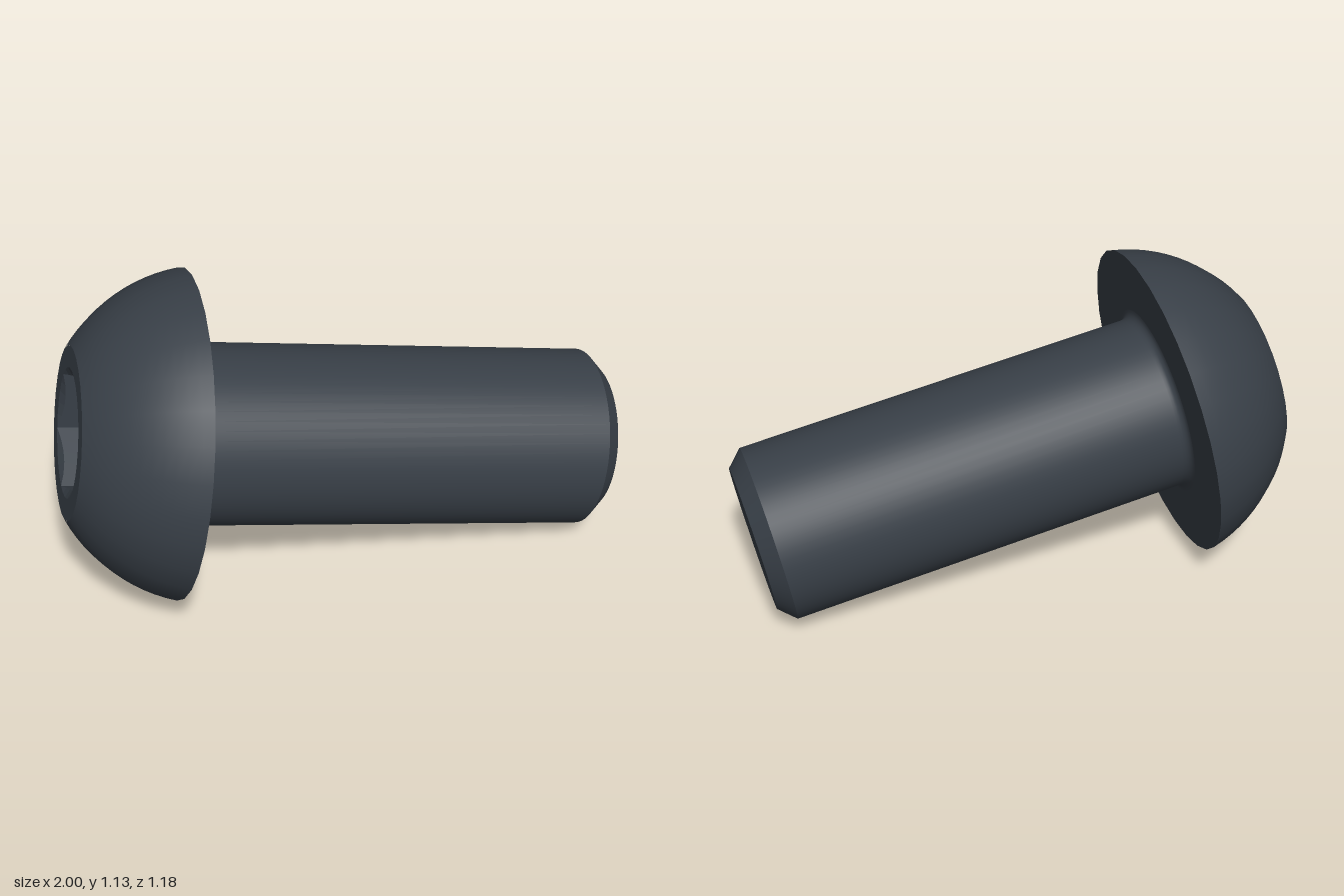
import * as THREE from 'three';

const steel = new THREE.MeshStandardMaterial({ color: 0x383f47 });
steel.name = 'dark steel';

const HEAD_SIDES = 30, SHANK_SIDES = 60;
const TOP = -0.38;          // plane of the head's flat top; the head's underside is at 0
const RIM = 0.575, FLAT = 0.3, SOCKET = 0.224, SHANK = 0.318, TIP = 0.262;

// Surface of revolution about local y; each call keeps its own smooth normals
function turned(name, profile, sides) {
  const pts = profile.map(([r, y]) => new THREE.Vector2(r, y));
  const mesh = new THREE.Mesh(new THREE.LatheGeometry(pts, sides), steel);
  mesh.name = name;
  return mesh;
}

// Arc of points in (radius, height) about a centre
function arc(cr, cy, r, from, to, steps) {
  return Array.from({ length: steps + 1 }, (_, i) => {
    const a = from + (to - from) * i / steps;
    return [cr + r * Math.cos(a), cy + r * Math.sin(a)];
  });
}

// Hexagonal recess with a conical countersink that meets the hexagon's corners
function hexSocket() {
  const sixth = Math.PI / 3, depth = 0.215;
  const rings = [
    () => [SOCKET, TOP],
    h => [h, TOP + (SOCKET - h) * 0.577],
    h => [h, TOP + depth],
    () => [0, TOP + depth],
  ];
  const point = (ring, i) => {
    const a = i / HEAD_SIDES * Math.PI * 2;
    const within = (i % (HEAD_SIDES / 6)) / (HEAD_SIDES / 6) * sixth;
    const h = SOCKET * Math.cos(sixth / 2) / Math.cos(within - sixth / 2);
    const [r, y] = rings[ring](h);
    return [r * Math.sin(a), y, r * Math.cos(a)];
  };
  const pos = [];
  for (let k = 0; k < rings.length - 1; k++) {
    for (let i = 0; i < HEAD_SIDES; i++) {
      const a = point(k, i), b = point(k, i + 1), c = point(k + 1, i + 1), d = point(k + 1, i);
      pos.push(...a, ...d, ...b, ...b, ...d, ...c);
    }
  }
  const geo = new THREE.BufferGeometry();
  geo.setAttribute('position', new THREE.Float32BufferAttribute(pos, 3));
  geo.computeVertexNormals();
  const mesh = new THREE.Mesh(geo, steel);
  mesh.name = 'hexSocket';
  return mesh;
}

export function createModel() {
  const bolt = new THREE.Group();
  bolt.name = 'bolt';

  // Domed head: a spherical zone whose centre lies below the underside
  const cy = 0.126, domeR = Math.hypot(RIM, cy);
  const dome = arc(0, cy, domeR, Math.atan2(TOP - cy, FLAT), Math.atan2(-cy, RIM), 12);
  const head = new THREE.Group();
  head.name = 'head';
  head.add(
    turned('headTop', [[SOCKET, TOP], [FLAT, TOP]], HEAD_SIDES),
    turned('headDome', dome, HEAD_SIDES),
    turned('headUnderside', [[RIM, 0], [SHANK + 0.015, 0]], HEAD_SIDES),
    hexSocket(),
  );

  // Shank with a small fillet under the head and a chamfered end
  const fillet = arc(SHANK + 0.03, 0.03, 0.03, -Math.PI / 2, -Math.PI, 5);
  const shank = new THREE.Group();
  shank.name = 'shank';
  shank.add(
    turned('shankFillet', fillet, SHANK_SIDES),
    turned('shankBody', [[SHANK, 0.03], [SHANK, 1.483]], SHANK_SIDES),
    turned('endChamfer', [[SHANK, 1.483], [TIP, 1.54]], SHANK_SIDES),
    turned('endFace', [[TIP, 1.54], [0, 1.54]], SHANK_SIDES),
  );
  bolt.add(head, shank);

  // Lay the bolt along its tilted axis with a socket corner pointing up
  const axis = new THREE.Vector3(1, -0.178, 0.213).normalize();
  const up = new THREE.Vector3(0, 1, 0).addScaledVector(axis, -axis.y).normalize();
  const side = new THREE.Vector3().crossVectors(axis, up);
  bolt.quaternion.setFromRotationMatrix(new THREE.Matrix4().makeBasis(side, axis, up));
  bolt.position.set(-0.554, 0.568, -0.03);

  const model = new THREE.Group();
  model.name = 'model';
  model.add(bolt);
  return model;
}
